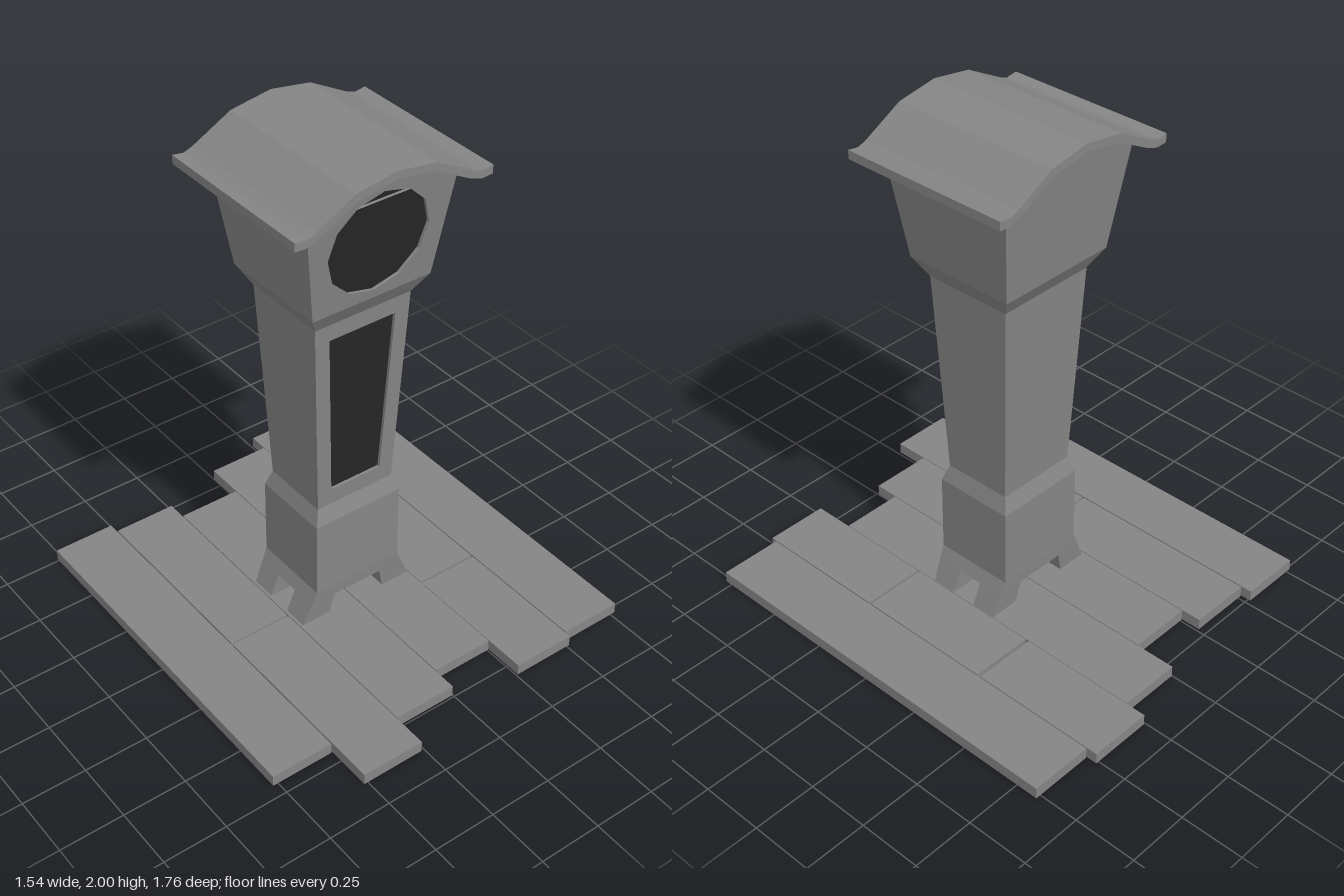
import * as THREE from 'three';

const grey = new THREE.MeshStandardMaterial({ color: 0x858585, flatShading: true });
const dark = new THREE.MeshStandardMaterial({ color: 0x262626, flatShading: true });

function mesh(name, geometry, material = grey) {
  const m = new THREE.Mesh(geometry, material);
  m.name = name;
  return m;
}

// Builds a flat-shaded geometry from quads given counter-clockwise
function fromQuads(quads) {
  const pos = quads.flatMap(([a, b, c, d]) => [a, b, c, a, c, d].flat());
  const g = new THREE.BufferGeometry();
  g.setAttribute('position', new THREE.Float32BufferAttribute(pos, 3));
  g.computeVertexNormals();
  return g;
}

// Stacks rectangular sections [y, x0, x1, z0, z1]; skip(level, side) leaves a wall out
function loft(sections, skip = () => false) {
  const rings = sections.map(([y, x0, x1, z0, z1]) =>
    [[x0, y, z1], [x1, y, z1], [x1, y, z0], [x0, y, z0]]);
  const quads = [[...rings[0]].reverse(), rings[rings.length - 1]];
  for (let i = 0; i < rings.length - 1; i++) {
    for (let s = 0; s < 4; s++) {
      const t = (s + 1) % 4;
      if (!skip(i, s)) quads.push([rings[i][s], rings[i][t], rings[i + 1][t], rings[i + 1][s]]);
    }
  }
  return fromQuads(quads);
}

// Flat panel whose depth follows the sloping wall, with an optional hole
function slopedPanel(outline, zAt, hole) {
  const shape = new THREE.Shape(outline.map(p => new THREE.Vector2(...p)));
  if (hole) shape.holes.push(new THREE.Path(hole.map(p => new THREE.Vector2(...p))));
  const g = new THREE.ShapeGeometry(shape);
  const p = g.attributes.position;
  for (let i = 0; i < p.count; i++) p.setZ(i, zAt(p.getY(i)));
  g.computeVertexNormals();
  return g;
}

// Front wall with a recessed dark inset
function insetWall(name, outline, hole, zAt, depth = 0.012) {
  const group = new THREE.Group();
  group.name = name;
  const back = y => zAt(y) - depth;
  const rim = hole.map((p, i) => {
    const q = hole[(i + 1) % hole.length];
    return [[...p, zAt(p[1])], [...q, zAt(q[1])], [...q, back(q[1])], [...p, back(p[1])]];
  });
  group.add(
    mesh(name + 'Wall', slopedPanel(outline, zAt, hole)),
    mesh(name + 'Rim', fromQuads(rim)),
    mesh(name + 'Inset', slopedPanel(hole, back), dark));
  return group;
}

export function createModel() {
  const model = new THREE.Group();
  model.name = 'longcaseClock';

  // Floor planks: [x0, x1, then z ranges]
  const floor = new THREE.Group();
  floor.name = 'floor';
  const planks = [
    [-0.77, -0.52, [-0.76, 0.699]],
    [-0.515, -0.261, [-0.717, 0.079], [0.087, 0.882]],
    [-0.258, -0.002, [-0.637, 0.741]],
    [0.001, 0.255, [-0.8, 0.642]],
    [0.257, 0.512, [-0.882, -0.33], [-0.315, 0.24], [0.25, 0.805]],
    [0.516, 0.77, [-0.839, 0.779]],
  ];
  for (const [x0, x1, ...spans] of planks) {
    for (const [z0, z1] of spans) {
      const plank = mesh('plank', new THREE.BoxGeometry(x1 - x0, 0.045, z1 - z0));
      plank.position.set((x0 + x1) / 2, 0.0225, (z0 + z1) / 2);
      floor.add(plank);
    }
  }
  model.add(floor);

  const clock = new THREE.Group();
  clock.name = 'clock';
  clock.position.set(0.003, 0, 0.008);
  model.add(clock);

  // Case: [y, half width, half depth]
  const profile = [
    [0.13, 0.213, 0.159], [0.18, 0.19, 0.162], [0.495, 0.19, 0.162], [0.56, 0.168, 0.14],
    [1.38, 0.205, 0.178], [1.46, 0.25, 0.226], [1.865, 0.308, 0.277],
  ];
  const TRUNK = 3, HOOD = 5;
  clock.add(mesh('case', loft(
    profile.map(([y, x, z]) => [y, -x, x, -z, z]),
    (level, side) => (level === TRUNK && side === 0) || (level === HOOD && side % 2 === 0))));
  const wallDepth = i => y => {
    const [y0, , z0] = profile[i], [y1, , z1] = profile[i + 1];
    return z0 + (z1 - z0) * (y - y0) / (y1 - y0);
  };

  // Splayed feet
  for (const sx of [-1, 1]) {
    for (const sz of [-1, 1]) {
      const section = (y, xi, xo, zi, zo) => [y,
        Math.min(sx * xi, sx * xo), Math.max(sx * xi, sx * xo),
        Math.min(sz * zi, sz * zo), Math.max(sz * zi, sz * zo)];
      clock.add(mesh('foot', loft([
        section(0.045, 0.126, 0.25, 0.052, 0.153),
        section(0.13, 0.106, 0.213, 0.052, 0.159)])));
    }
  }

  // Trunk front with its long tapered window
  clock.add(insetWall('trunkFront',
    [[-0.168, 0.56], [0.168, 0.56], [0.205, 1.38], [-0.205, 1.38]],
    [[-0.11, 0.628], [0.11, 0.628], [0.142, 1.313], [-0.142, 1.313]],
    wallDepth(TRUNK)));

  // Arched hood front with the round dial, and a plain back
  const hoodOutline = [[-0.25, 1.46], [0.25, 1.46], [0.308, 1.865], [0.157, 1.946],
    [0, 1.972], [-0.157, 1.946], [-0.308, 1.865]];
  const dial = Array.from({ length: 12 }, (_, i) => {
    const a = i * Math.PI / 6;
    return [0.21 * Math.cos(a), 1.695 + 0.202 * Math.sin(a)];
  });
  clock.add(insetWall('hoodFront', hoodOutline, dial, wallDepth(HOOD)));
  const hoodBack = mesh('hoodBack', slopedPanel(hoodOutline, wallDepth(HOOD)));
  hoodBack.rotation.y = Math.PI;
  clock.add(hoodBack);

  // Curved roof slab with upturned eaves
  const upper = [[0, 2], [0.165, 1.974], [0.322, 1.89], [0.358, 1.877], [0.403, 1.884]];
  const lower = [[0.403, 1.85], [0.355, 1.848], [0.308, 1.864], [0.157, 1.944], [0, 1.969]];
  const half = [...upper, ...lower];
  const mirrored = half.slice(1, -1).reverse().map(([x, y]) => [-x, y]);
  const roofShape = new THREE.Shape([...half, ...mirrored].map(p => new THREE.Vector2(...p)));
  const roof = mesh('roof', new THREE.ExtrudeGeometry(roofShape, { depth: 0.686, bevelEnabled: false }));
  roof.position.z = -0.343;
  clock.add(roof);

  return model;
}
